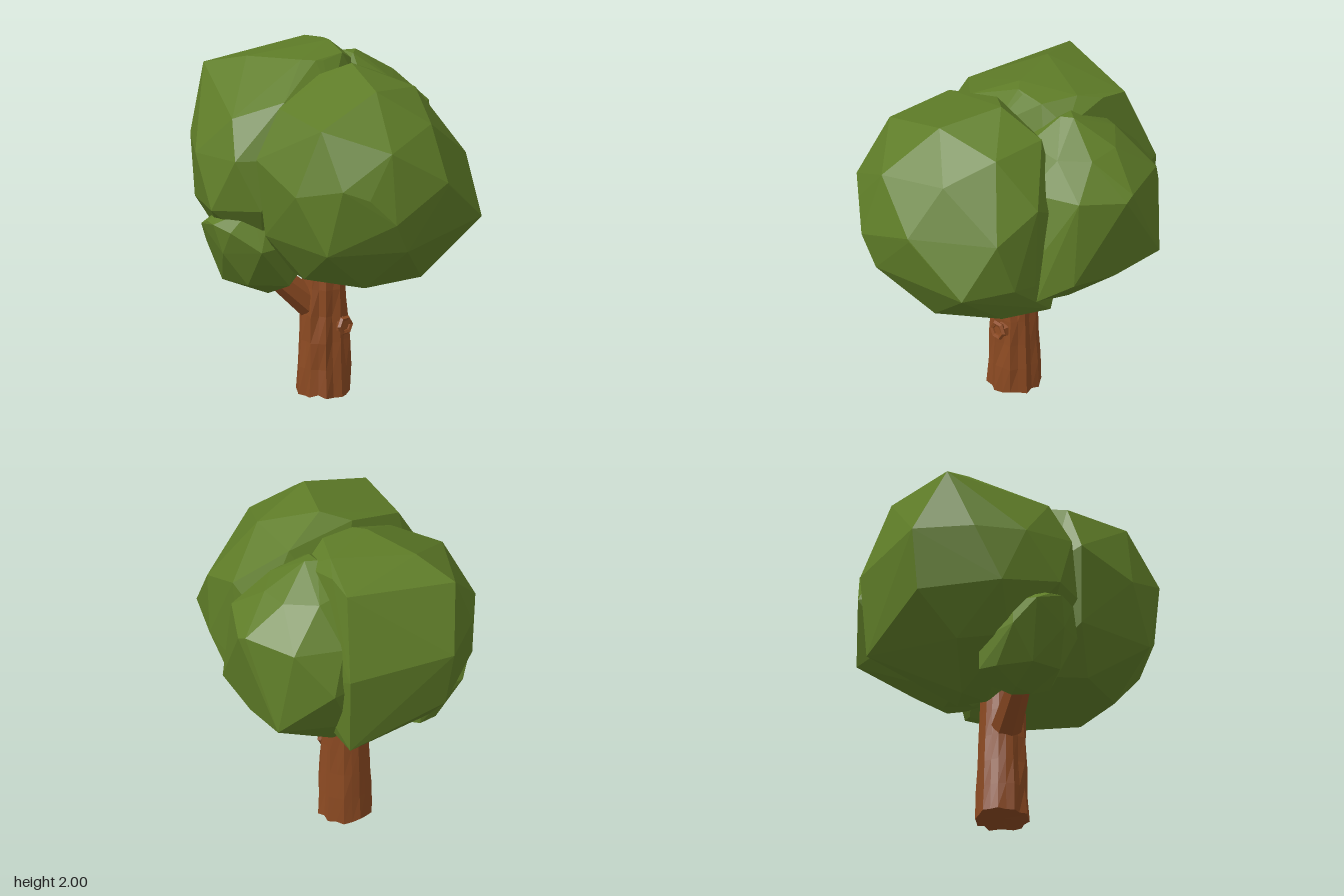
import * as THREE from 'three';
import { ConvexGeometry } from 'three/addons/geometries/ConvexGeometry.js';

const leafMaterial = new THREE.MeshStandardMaterial({ color: 0x5f7d28, flatShading: true });
const barkMaterial = new THREE.MeshStandardMaterial({ color: 0x8c4a22, flatShading: true });

// Repeatable value from -1 to 1
const noise = (a, b) => {
  const s = Math.sin(a * 127.1 + b * 311.7) * 43758.5453;
  return 2 * (s - Math.floor(s)) - 1;
};

function addMesh(group, name, geometry, material) {
  const mesh = new THREE.Mesh(geometry, material);
  mesh.name = name;
  group.add(mesh);
  return mesh;
}

// Faceted clump: hull of staggered rings [y, xMin, xMax, zMin, zMax] and a few jutting corners [x, y, z]
function clump({ rings, corners, sides, seed }) {
  const points = corners.map((c) => new THREE.Vector3(...c));
  const soften = (v) => Math.sign(v) * Math.abs(v) ** 0.92;
  rings.forEach(([y, x0, x1, z0, z1], r) => {
    const small = x1 - x0 < 0.25;
    const n = small ? 3 : sides;
    for (let i = 0; i < n; i++) {
      const a = ((i + (r % 2) * 0.5 + noise(i + seed, r) * 0.08) / n) * Math.PI * 2;
      points.push(new THREE.Vector3(
        (x0 + x1) / 2 + soften(Math.cos(a)) * (x1 - x0) / 2,
        y + (small ? 0 : noise(r + seed, i) * 0.03),
        (z0 + z1) / 2 + soften(Math.sin(a)) * (z1 - z0) / 2
      ));
    }
  });
  return new ConvexGeometry(points);
}

// Trunk with vertical bark ridges, deepest on the front
function trunkGeometry() {
  const sides = 20, height = 0.95;
  const geometry = new THREE.CylinderGeometry(1, 1, height, sides, 6);
  const p = geometry.attributes.position;
  for (let i = 0; i < p.count; i++) {
    const x = p.getX(i), z = p.getZ(i);
    const t = p.getY(i) / height + 0.5;
    const level = Math.round(t * 6);
    const column = (Math.round((Math.atan2(z, x) / (Math.PI * 2)) * sides) + sides) % sides;
    const depth = z > -0.3 ? 0.011 : 0.004;
    const ridge = ((column % 2 ? 0.6 : -0.6) + 0.9 * noise(column, level + 9)) * depth;
    const onRim = Math.hypot(x, z) > 0.5;
    const radius = 0.157 - 0.034 * Math.min(1, t * 1.25) + ridge;
    const baseJag = level === 0 && onRim ? 0.012 * noise(column, 5) : 0;
    p.setXYZ(i, -0.065 + x * radius, t * height + 0.015 + baseJag, -0.033 + z * radius * 0.95);
  }
  return geometry;
}

// Tapered limb between two points
function addLimb(group, name, from, to, r0, r1) {
  const a = new THREE.Vector3(...from), b = new THREE.Vector3(...to);
  const limb = addMesh(group, name, new THREE.CylinderGeometry(r1, r0, a.distanceTo(b), 7), barkMaterial);
  limb.position.copy(a).lerp(b, 0.5);
  limb.quaternion.setFromUnitVectors(new THREE.Vector3(0, 1, 0), b.sub(a).normalize());
}

export function createModel() {
  const tree = new THREE.Group();
  tree.name = 'tree';

  addMesh(tree, 'trunk', trunkGeometry(), barkMaterial);
  addLimb(tree, 'branch', [-0.09, 0.5, -0.05], [-0.4, 0.8, -0.18], 0.095, 0.06);

  // Knot: six-sided ring around a sunken core
  const knot = new THREE.Group();
  knot.name = 'knot';
  addMesh(knot, 'knotRing', new THREE.TorusGeometry(0.044, 0.016, 5, 6), barkMaterial);
  addMesh(knot, 'knotCore', new THREE.CylinderGeometry(0.042, 0.06, 0.05, 6).rotateX(Math.PI / 2), barkMaterial)
    .position.z = -0.026;
  knot.position.set(-0.04, 0.43, 0.118);
  knot.rotation.x = -0.08;
  tree.add(knot);

  // Crown
  const clumps = {
    frontFoliage: {
      sides: 7, seed: 1,
      rings: [
        [0.68, -0.08, 0.06, 0.02, 0.16], [0.83, -0.48, 0.36, -0.15, 0.68],
        [1.1, -0.68, 0.5, -0.2, 0.88], [1.45, -0.69, 0.5, -0.2, 0.9]],
      corners: [[-0.6, 1.51, 0.69], [-0.56, 1.81, 0.47], [-0.14, 1.95, 0.48], [0.24, 1.87, 0.4],
        [-0.3, 1.69, 0.78], [0.1, 1.75, 0.68], [0.48, 1.6, 0.3], [0.26, 1.87, 0.06], [0, 2, 0.13],
        [0.38, 1.16, 0.8], [-0.36, 1.3, 0.88], [0.04, 1.45, 0.89], [0.5, 0.9, 0.22], [0.5, 1.15, 0.5],
        [-0.65, 1.55, 0.03], [-0.5, 1.83, 0.06], [-0.15, 1.94, 0.02]],
    },
    backFoliage: {
      sides: 8, seed: 18,
      rings: [
        [0.7, -0.12, 0.08, -0.36, -0.15], [0.92, -0.52, 0.3, -0.6, 0.1], [1.2, -0.75, 0.36, -0.64, 0.15],
        [1.5, -0.73, 0.36, -0.66, 0.16], [1.8, -0.52, 0.3, -0.6, 0.08], [1.96, -0.15, 0.22, -0.35, -0.06]],
      corners: [[0.38, 1.45, -0.72], [0.36, 0.96, -0.69], [-0.22, 1.5, -0.89], [-0.2, 1.15, -0.83],
        [-0.34, 1.87, -0.73], [-0.25, 1.95, -0.47], [0.29, 1.92, -0.56], [0.28, 1.95, -0.4],
        [0.28, 1.88, -0.12], [-0.62, 1.73, -0.2], [-0.5, 1.5, -0.67], [-0.08, 1.98, -0.08]],
    },
    sideFoliage: {
      sides: 8, seed: 35,
      rings: [
        [0.75, 0.05, 0.22, -0.3, -0.1], [0.87, 0.0, 0.42, -0.45, 0.2], [1.07, -0.1, 0.66, -0.58, 0.3],
        [1.33, -0.1, 0.72, -0.64, 0.3], [1.6, -0.1, 0.74, -0.6, 0.22], [1.81, 0.0, 0.54, -0.42, 0.08],
        [1.94, 0.22, 0.3, -0.2, -0.1]],
      corners: [[0.75, 1.58, -0.14], [0.69, 1.08, -0.45], [0.5, 1.0, 0.33], [0.45, 1.35, -0.67], [0.64, 1.1, 0.17]],
    },
    lowFoliage: {
      sides: 6, seed: 52,
      rings: [
        [0.65, -0.44, -0.32, -0.28, -0.12], [0.74, -0.62, -0.18, -0.42, 0.03], [0.95, -0.72, -0.18, -0.48, 0.08],
        [1.12, -0.75, -0.3, -0.38, -0.02], [1.2, -0.6, -0.42, -0.3, -0.1]],
      corners: [[-0.75, 1.12, -0.22], [-0.7, 1.08, -0.37], [-0.3, 0.74, -0.44]],
    },
  };
  for (const [name, shape] of Object.entries(clumps)) addMesh(tree, name, clump(shape), leafMaterial);

  return tree;
}
